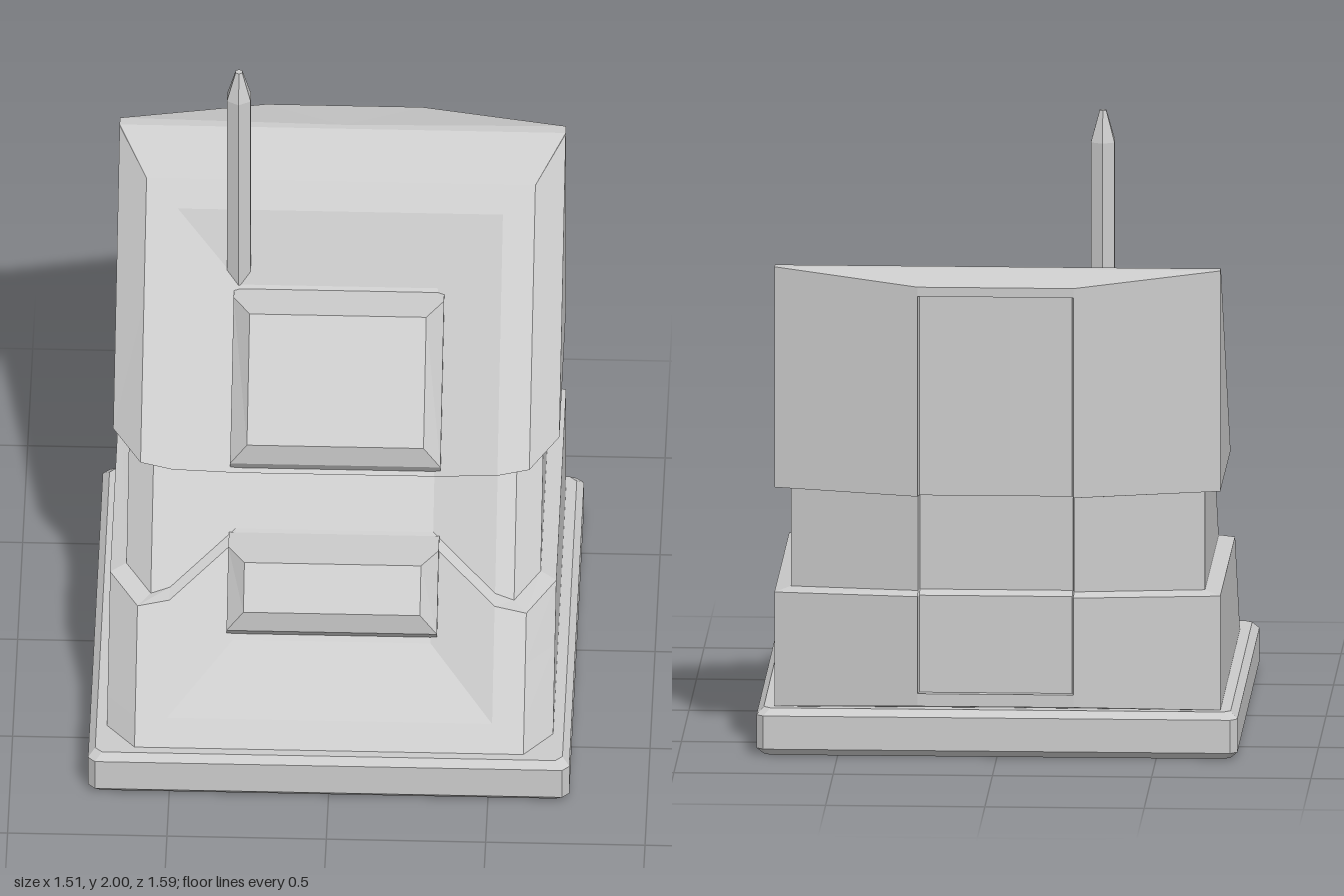
import * as THREE from 'three';

const grey = new THREE.MeshStandardMaterial({ color: 0xcccccc, flatShading: true });

// Skins a stack of equal-length rings and closes both ends with a fan.
function loft(name, rings, centers = []) {
  const pos = [];
  const tri = (...pts) => pts.forEach((p) => pos.push(...p));
  const n = rings[0].length;
  const mean = (r) => [0, 1, 2].map((k) => r.reduce((s, p) => s + p[k], 0) / n);
  const last = rings[rings.length - 1];
  const c0 = centers[0] || mean(rings[0]);
  const c1 = centers[1] || mean(last);
  for (let i = 0; i < n; i++) {
    const j = (i + 1) % n;
    for (let k = 0; k < rings.length - 1; k++) {
      const a = rings[k], b = rings[k + 1];
      tri(a[i], a[j], b[j]);
      tri(a[i], b[j], b[i]);
    }
    tri(c0, rings[0][j], rings[0][i]);
    tri(c1, last[i], last[j]);
  }
  const geo = new THREE.BufferGeometry();
  geo.setAttribute('position', new THREE.Float32BufferAttribute(pos, 3));
  geo.computeVertexNormals();
  const mesh = new THREE.Mesh(geo, grey);
  mesh.name = name;
  return mesh;
}

// Completes a right-hand half outline with its mirror image.
const mirror = (half) => [...half, ...half.slice().reverse().map(([x, y, z]) => [-x, y, z])];

// Sloped front plane and the parallel edge along the sides
const frontZ = (y) => 0.74 - 0.902 * (y - 0.15);
const sideZ = (y) => 0.63 - 0.897 * (y - 0.15);
// How far the dished panel has sunk at a height (0 to 1)
const sink = (y) => THREE.MathUtils.clamp(Math.min((y - 0.22) / 0.14, (1.41 - y) / 0.22), 0, 1);

// One body ring. ys: floor, dish edge, front edge, side edge, back corner, back centre.
// inset = 1 for the narrow waist, groove = depth of the strip down the back.
function bodyRing(ys, inset = 0, groove = 0) {
  const [yf, yd, ye, ys_, yc, yb] = ys;
  const f = 0.04 * inset, w = 0.05 * inset;
  return mirror([
    [0.51 - 0.2 * sink(yf), yf, frontZ(yf) - 0.1 * sink(yf) - f],
    [0.51, yd, frontZ(yd) - f],
    [0.61 - f, ye, frontZ(ye) - f],
    [0.7 - w, ys_, sideZ(ys_) - f / 2],
    [0.7 - w, yc, -0.67 + f],
    [0.245, yb, -0.8 + f],
    [0.24, yb, -0.8 + f + groove],
  ]);
}

function body() {
  const level = (y) => Array(6).fill(y);
  const lowerEdge = [0.59, 0.495, 0.48, 0.51, 0.515, 0.53];
  const upperEdge = [0.75, 0.8, 0.815, 0.845, 0.85, 0.85];
  const shift = (edge, d) => edge.map((y) => y + d);
  const g = 0.025;
  const topFront = [1.41, 1.41, 1.41, 1.41, 1.47, 1.49];
  const rings = [
    bodyRing([0.15, 0.15, 0.15, 0.15, 0.15, 0.18]),
    bodyRing(level(0.22)),
    bodyRing(level(0.22), 0, g),
    bodyRing(level(0.36), 0, g),
    bodyRing(lowerEdge, 0, g),
    bodyRing(shift(lowerEdge, 0.012), 1, g),
    bodyRing(shift(upperEdge, -0.008), 1, g),
    bodyRing(upperEdge, 0, g),
    bodyRing(level(1.19), 0, g),
    bodyRing(topFront, 0, g),
    bodyRing(topFront),
    bodyRing([1.48, 1.48, 1.48, 1.555, 1.555, 1.52]),
    // bevelled crest
    mirror([
      [0.585, 1.555, -0.635], [0.585, 1.555, -0.635], [0.7, 1.555, -0.635],
      [0.7, 1.555, -0.635], [0.7, 1.555, -0.67], [0.245, 1.52, -0.8], [0.24, 1.52, -0.8],
    ]),
  ];
  return loft('body', rings, [[0, 0.15, -0.66], [0, 1.555, -0.655]]);
}

// Plinth with cut corners and bevelled rims
function plinth() {
  const ring = (y, inset) => {
    const x = 0.755 - inset, z = 0.755 - inset, c = 0.022, z0 = 0.035;
    return mirror([[x - c, y, z0 + z], [x, y, z0 + z - c], [x, y, z0 - z + c], [x - c, y, z0 - z]]);
  };
  return loft('plinth', [ring(0, 0.022), ring(0.022, 0), ring(0.128, 0), ring(0.15, 0.022)]);
}

// Raised block: each row is half width, top z, top y, bottom z, bottom y, from back to front
function block(name, rows) {
  return loft(name, rows.map(([w, tz, ty, bz, by]) => [[w, by, bz], [w, ty, tz], [-w, ty, tz], [-w, by, bz]]));
}

export function createModel() {
  const model = new THREE.Group();
  model.name = 'console';
  model.add(plinth(), body());

  model.add(block('upperPanel', [
    [0.33, -0.31, 1.18, 0.08, 0.75],
    [0.33, -0.245, 1.18, 0.11, 0.795],
    [0.277, -0.16, 1.18, 0.112, 0.87],
  ]));
  model.add(block('lowerPanel', [
    [0.33, 0.21, 0.6, 0.43, 0.365],
    [0.33, 0.285, 0.6, 0.462, 0.405],
    [0.277, 0.365, 0.6, 0.465, 0.48],
  ]));

  // Six-sided antenna with a tapered tip
  const antenna = new THREE.Group();
  antenna.name = 'antenna';
  const rod = new THREE.Mesh(new THREE.CylinderGeometry(0.043, 0.043, 0.75, 6, 1, true), grey);
  rod.name = 'antennaRod';
  rod.position.y = 1.525;
  const tip = new THREE.Mesh(new THREE.CylinderGeometry(0.012, 0.043, 0.1, 6), grey);
  tip.name = 'antennaTip';
  tip.position.y = 1.95;
  antenna.add(rod, tip);
  antenna.position.set(-0.316, 0, -0.337);
  model.add(antenna);
  return model;
}
